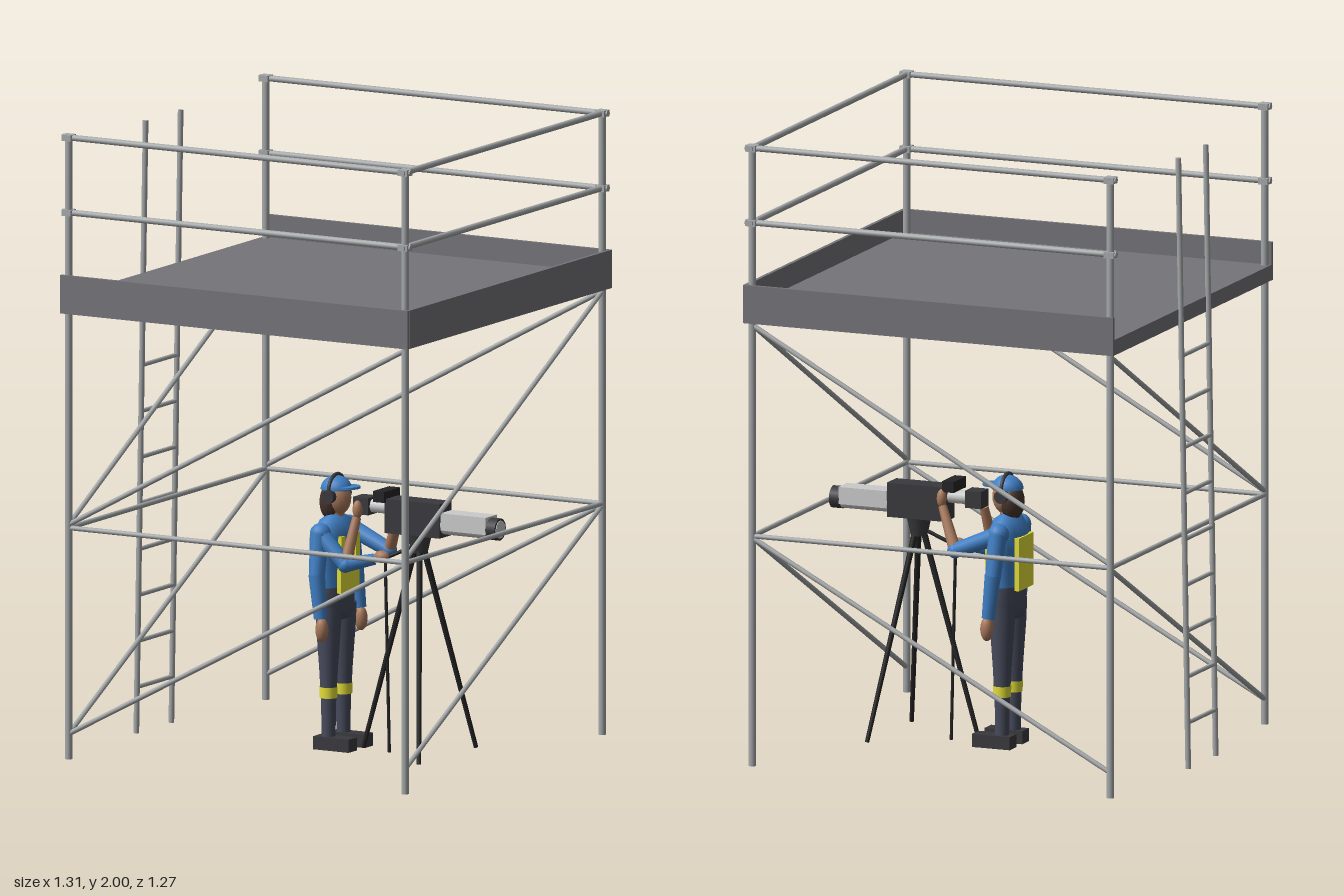
import * as THREE from 'three';

const mat = (color) => new THREE.MeshStandardMaterial({ color, side: THREE.DoubleSide });
const M = {
  pipe: mat(0xa6a9aa), deck: mat(0x75747a), dark: mat(0x3a3a3e), black: mat(0x242426),
  blue: mat(0x3f7fc4), navy: mat(0x474b5c), yellow: mat(0xe6e03a), skin: mat(0xa9795c),
  hair: mat(0x46332b), light: mat(0xcccccc),
};
const V = (p) => new THREE.Vector3(...p);

function add(parent, name, geo, material, pos = [0, 0, 0]) {
  const m = new THREE.Mesh(geo, material);
  m.name = name;
  m.position.set(...pos);
  parent.add(m);
  return m;
}
const box = (parent, name, size, pos, material) =>
  add(parent, name, new THREE.BoxGeometry(...size), material, pos);

// Round bar from a to b, optionally tapered
function rod(parent, name, a, b, r, material, r2 = r) {
  const d = V(b).sub(V(a));
  const m = add(parent, name, new THREE.CylinderGeometry(r2, r, d.length(), 12), material);
  m.position.copy(V(a)).addScaledVector(d, 0.5);
  m.quaternion.setFromUnitVectors(new THREE.Vector3(0, 1, 0), d.normalize());
  return m;
}
// Turned body with an elliptical section; profile is [radius, y]
function turned(parent, name, profile, pos, sx, sz, material) {
  const pts = profile.map((p) => new THREE.Vector2(...p));
  const m = add(parent, name, new THREE.LatheGeometry(pts, 20), material, pos);
  m.scale.set(sx, 1, sz);
  return m;
}
function ball(parent, name, r, pos, scale, material) {
  const m = add(parent, name, new THREE.SphereGeometry(r, 16, 12), material, pos);
  m.scale.set(...scale);
  return m;
}
function group(parent, name) {
  const g = new THREE.Group();
  g.name = name;
  parent.add(g);
  return g;
}

const X0 = -0.597, X1 = 0.633, Z = 0.613;

function buildTower(root) {
  const g = group(root, 'scaffoldTower');
  for (const x of [X0, X1]) for (const z of [-Z, Z])
    rod(g, 'post', [x, 0, z], [x, 2, z], 0.012, M.pipe);

  // Deck with toe boards on three sides, open at the ladder
  box(g, 'deck', [1.27, 0.05, 1.27], [0.02, 1.453, 0], M.deck);
  for (const s of [-1, 1])
    box(g, 'toeBoard', [1.27, 0.12, 0.012], [0.02, 1.491, s * 0.63], M.deck);
  box(g, 'toeBoard', [0.012, 0.12, 1.25], [0.65, 1.491, 0], M.deck);

  // Guard rails with corner clamps
  for (const y of [1.75, 1.99]) {
    for (const s of [-1, 1]) {
      rod(g, 'guardRail', [-0.618, y, s * Z], [0.655, y, s * Z], 0.01, M.pipe);
      for (const x of [X0, X1]) box(g, 'railClamp', [0.034, 0.02, 0.034], [x, y, s * Z], M.pipe);
    }
    rod(g, 'guardRail', [X1, y, -0.635], [X1, y, 0.635], 0.01, M.pipe);
  }

  // Horizontal and diagonal braces on each face
  for (const [lo, hi] of [[0.74, 0.74], [0.08, 0.735], [0.75, 1.42]]) {
    for (const z of [-Z, Z]) rod(g, 'brace', [X0, lo, z], [X1, hi, z], 0.008, M.pipe);
    for (const x of [X0, X1]) rod(g, 'brace', [x, lo, Z], [x, hi, -Z], 0.008, M.pipe);
  }
}

function buildLadder(root) {
  const g = group(root, 'ladder');
  const xAt = (y) => -0.646 + (y / 1.965) * 0.034;
  for (const z of [-0.109, 0.109])
    rod(g, 'ladderRail', [xAt(0), 0, z], [xAt(1.965), 1.965, z], 0.009, M.pipe);
  for (let i = 1; i <= 9; i++) {
    const y = i * 0.1475;
    rod(g, 'rung', [xAt(y), y, -0.109], [xAt(y), y, 0.109], 0.007, M.pipe);
  }
}

function buildCamera(root) {
  const g = group(root, 'cameraOnTripod');
  box(g, 'cameraBody', [0.2, 0.11, 0.075], [0.32, 0.763, 0], M.dark);
  box(g, 'lensHousing', [0.165, 0.055, 0.07], [0.505, 0.762, 0], M.light);
  rod(g, 'lensBarrel', [0.42, 0.75, 0], [0.6, 0.75, 0], 0.034, M.light);
  rod(g, 'lensRing', [0.585, 0.75, 0], [0.62, 0.75, 0], 0.036, M.dark);
  rod(g, 'lensGlass', [0.61, 0.75, 0], [0.622, 0.75, 0], 0.029, M.light);
  rod(g, 'eyepieceTube', [0.15, 0.785, 0], [0.225, 0.785, 0], 0.022, M.light);
  box(g, 'viewfinder', [0.055, 0.055, 0.06], [0.128, 0.785, 0], M.dark);
  box(g, 'topMonitor', [0.04, 0.035, 0.1], [0.205, 0.824, 0], M.black);
  rod(g, 'tripodHead', [0.325, 0.65, 0], [0.325, 0.71, 0], 0.026, M.dark, 0.04);
  rod(g, 'panHandle', [0.32, 0.675, 0], [0.19, 0.615, 0.02], 0.006, M.black);
  // Three splayed legs
  for (let i = 0; i < 3; i++) {
    const a = Math.PI + (i * Math.PI * 2) / 3, c = Math.cos(a), s = Math.sin(a);
    rod(g, 'tripodLeg', [0.325 + 0.205 * c, 0.008, 0.205 * s],
      [0.325 + 0.015 * c, 0.665, 0.015 * s], 0.007, M.black, 0.01);
  }
  rod(g, 'supportPole', [0.215, 0, 0], [0.2, 0.62, 0], 0.005, M.black);
}

function buildOperator(root) {
  const g = group(root, 'operator');
  // Shoes, trousers with reflective bands, hanging and raised arms
  for (const s of [-1, 1]) {
    box(g, 'shoe', [0.13, 0.042, 0.053], [0.046, 0.021, s * 0.05], M.dark);
    turned(g, 'trouserLeg', [[0.022, 0.04], [0.024, 0.15], [0.03, 0.26], [0.04, 0.4], [0.042, 0.46]],
      [0.02, 0, s * 0.046], 1, 1, M.navy);
    turned(g, 'reflectiveBand', [[0.028, 0.165], [0.029, 0.2]], [0.02, 0, s * 0.046], 1, 1, M.yellow);
    ball(g, 'shoulder', 0.034, [0.015, 0.695, s * 0.088], [1, 1, 1], M.blue);
    rod(g, 'hangingUpperArm', [0.02, 0.56, s * 0.12], [0.015, 0.695, s * 0.095], 0.025, M.blue, 0.03);
    rod(g, 'hangingSleeve', [0.035, 0.43, s * 0.122], [0.02, 0.57, s * 0.12], 0.021, M.blue, 0.026);
    ball(g, 'hangingHand', 0.028, [0.04, 0.395, s * 0.122], [0.75, 1.4, 0.75], M.skin);
    const elbow = s > 0 ? [0.11, 0.605, 0.095] : [0.165, 0.63, -0.085];
    const wrist = s > 0 ? [0.122, 0.75, 0.045] : [0.225, 0.76, -0.045];
    rod(g, 'raisedSleeve', [0.02, 0.69, s * 0.09], elbow, 0.029, M.blue, 0.024);
    ball(g, 'elbow', 0.025, elbow, [1, 1, 1], M.blue);
    rod(g, 'raisedForearm', elbow, wrist, 0.02, M.skin, 0.014);
    ball(g, 'raisedHand', 0.02, [wrist[0] + 0.003, wrist[1] + 0.025, wrist[2]], [0.8, 1.5, 0.8], M.skin);
  }
  rod(g, 'forearmSleeve', [0.11, 0.605, 0.095], [0.185, 0.622, 0.04], 0.024, M.blue, 0.018);
  ball(g, 'grippingHand', 0.02, [0.2, 0.628, 0.022], [1.3, 1, 1], M.skin);

  // Hips and jacket
  turned(g, 'hips', [[0, 0.405], [0.07, 0.415], [0.085, 0.45], [0.083, 0.52]],
    [0.018, 0, 0], 0.6, 1, M.navy);
  turned(g, 'jacket', [[0.082, 0.49], [0.082, 0.56], [0.092, 0.64], [0.095, 0.69], [0.07, 0.73], [0.025, 0.75]],
    [0.018, 0, 0], 0.6, 1, M.blue);
  // Safety vest: back panel, front hem and straps
  box(g, 'backPanel', [0.016, 0.17, 0.115], [-0.035, 0.595, 0], M.yellow);
  box(g, 'frontHem', [0.014, 0.075, 0.115], [0.065, 0.54, 0], M.yellow);
  for (const s of [-1, 1])
    box(g, 'frontStrap', [0.014, 0.11, 0.024], [0.067, 0.63, s * 0.046], M.yellow);

  // Head, hair, cap and headphones
  rod(g, 'neck', [0.02, 0.72, 0], [0.022, 0.78, 0], 0.024, M.skin);
  ball(g, 'head', 0.045, [0.028, 0.8, 0], [0.95, 1.25, 0.85], M.skin);
  ball(g, 'hair', 0.045, [0.005, 0.785, 0], [0.85, 1.35, 0.98], M.hair);
  const cap = new THREE.SphereGeometry(0.047, 16, 8, 0, Math.PI * 2, 0, Math.PI / 2);
  add(g, 'cap', cap, M.blue, [0.022, 0.825, 0]).scale.set(1.1, 0.95, 1);
  const brim = add(g, 'capBrim', new THREE.CylinderGeometry(0.037, 0.037, 0.007, 16), M.blue, [0.07, 0.836, 0]);
  brim.scale.x = 0.9;
  const band = new THREE.TorusGeometry(0.05, 0.006, 8, 20, Math.PI);
  add(g, 'headphoneBand', band, M.dark, [0.022, 0.824, 0]).rotation.y = Math.PI / 2;
  for (const s of [-1, 1])
    rod(g, 'earCup', [0.022, 0.808, s * 0.038], [0.022, 0.808, s * 0.058], 0.022, M.dark);
}

export function createModel() {
  const root = new THREE.Group();
  root.name = 'cameraTower';
  buildTower(root);
  buildLadder(root);
  buildCamera(root);
  buildOperator(root);
  return root;
}
